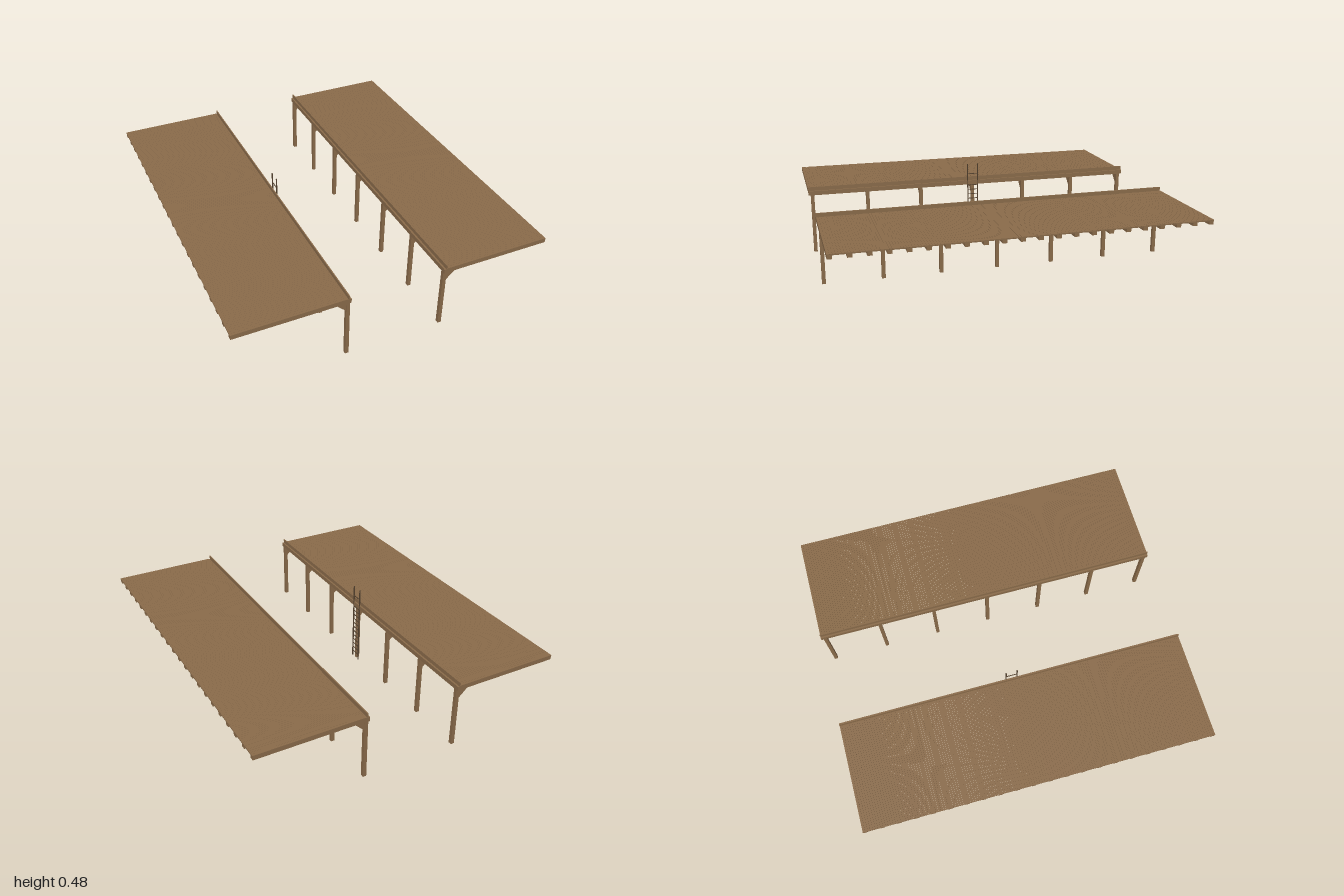
import * as THREE from 'three';

export function createModel() {
  const model = new THREE.Group();
  const wood = new THREE.MeshStandardMaterial({ color: 0x8a6b4a });
  wood.name = 'brown wood';
  const darkWood = new THREE.MeshStandardMaterial({ color: 0x54422f });
  darkWood.name = 'dark wood';

  // box given by its limits on x and y, its centre on z and its depth
  function box(parent, name, x0, x1, y0, y1, z, depth, material = wood) {
    const mesh = new THREE.Mesh(new THREE.BoxGeometry(Math.abs(x1 - x0), y1 - y0, depth), material);
    mesh.position.set((x0 + x1) / 2, (y0 + y1) / 2, z);
    mesh.name = name;
    parent.add(mesh);
    return mesh;
  }

  // triangular knee brace between post and platform
  function brace(parent, side, z) {
    const shape = new THREE.Shape([
      new THREE.Vector2(side * 0.282, 0.292),
      new THREE.Vector2(side * 0.345, 0.352),
      new THREE.Vector2(side * 0.282, 0.352),
    ]);
    const geometry = new THREE.ExtrudeGeometry(shape, { depth: 0.016, bevelEnabled: false });
    const mesh = new THREE.Mesh(geometry, wood);
    mesh.position.z = z - 0.008;
    mesh.name = 'kneeBrace';
    parent.add(mesh);
  }

  for (const side of [-1, 1]) {
    const platform = new THREE.Group();
    platform.name = side > 0 ? 'leftPlatform' : 'rightPlatform';
    model.add(platform);

    // narrow deck planks laid across the platform
    const planks = 144;
    const step = 2 / planks;
    for (let i = 0; i < planks; i++) {
      box(platform, 'deckPlank', side * 0.284, side * 0.885, 0.373, 0.38, -1 + (i + 0.5) * step, step - 0.0006);
    }

    // joists under the deck
    const joists = 22;
    for (let i = 0; i < joists; i++) {
      box(platform, 'joist', side * 0.284, side * 0.884, 0.354, 0.373, -0.987 + (i * 1.974) / (joists - 1), 0.025);
    }

    // edge beam and raised edge board
    box(platform, 'edgeBeam', side * 0.262, side * 0.285, 0.352, 0.377, 0, 2);
    box(platform, 'edgeBoard', side * 0.272, side * 0.278, 0.377, 0.4, 0, 2);

    // posts with braces
    for (let i = -3; i <= 3; i++) {
      const z = i * 0.326;
      box(platform, 'post', side * 0.264, side * 0.284, 0, 0.352, z, 0.02);
      brace(platform, side, z);
    }
  }

  // ladder on the inner edge of the right platform
  const ladder = new THREE.Group();
  ladder.name = 'ladder';
  model.add(ladder);
  for (const z of [-0.032, 0.032]) {
    box(ladder, 'ladderRail', -0.265, -0.259, 0, 0.482, z, 0.005, darkWood);
  }
  for (let i = 0; i < 12; i++) {
    const y = 0.035 + i * 0.0285;
    box(ladder, 'rung', -0.2635, -0.2595, y - 0.002, y + 0.002, 0, 0.062, darkWood);
  }
  box(ladder, 'topRung', -0.2635, -0.2595, 0.418, 0.422, 0, 0.062, darkWood);

  return model;
}
